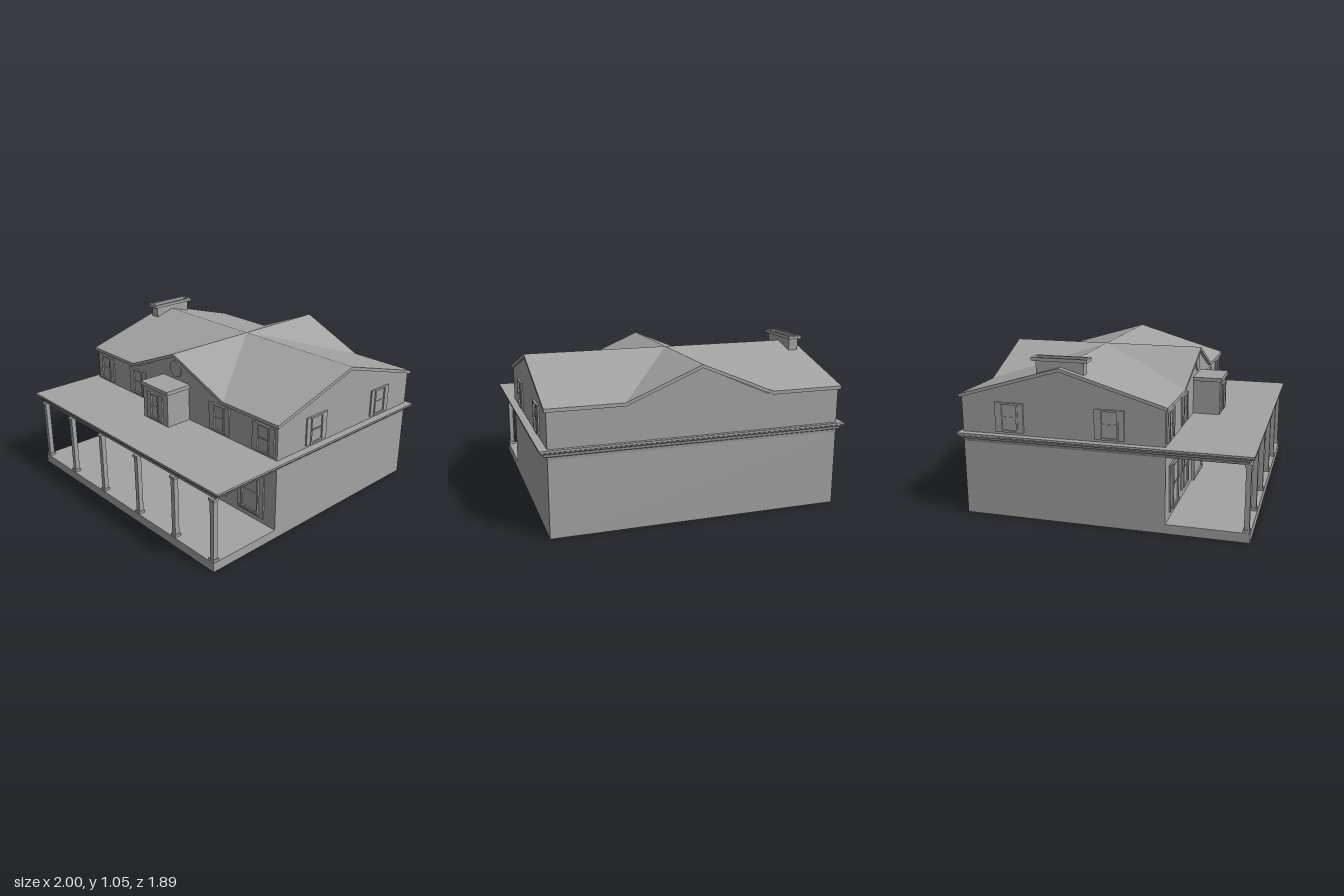
import * as THREE from 'three';

const plaster = new THREE.MeshStandardMaterial({ color: 0xa3a3a3, side: THREE.DoubleSide });
plaster.name = 'plain grey';

function addMesh(parent, name, geometry) {
  const mesh = new THREE.Mesh(geometry, plaster);
  mesh.name = name;
  parent.add(mesh);
  return mesh;
}

// Box given by its limits; open boxes have no bottom
function block(parent, name, [x0, x1], [y0, y1], [z0, z1], open = false) {
  const geo = new THREE.BoxGeometry(x1 - x0, y1 - y0, z1 - z0);
  geo.translate((x0 + x1) / 2, (y0 + y1) / 2, (z0 + z1) / 2);
  if (open) {
    geo.setIndex([...geo.index.array].filter((_, i) => i < 18 || i >= 24));
    geo.clearGroups();
  }
  return addMesh(parent, name, geo);
}

// Flat-shaded surface from convex polygons
function facets(polygons) {
  const pos = [];
  for (const p of polygons) {
    for (let i = 1; i < p.length - 1; i++) pos.push(...p[0], ...p[i], ...p[i + 1]);
  }
  const geo = new THREE.BufferGeometry();
  geo.setAttribute('position', new THREE.Float32BufferAttribute(pos, 3));
  geo.computeVertexNormals();
  return geo;
}

function prism(points, depth) {
  const shape = new THREE.Shape(points.map(([x, y]) => new THREE.Vector2(x, y)));
  return new THREE.ExtrudeGeometry(shape, { depth, bevelEnabled: false });
}

// Picture frame in the xy plane, projecting toward +z
function frame(parent, name, w, h, t, depth) {
  block(parent, name, [-w / 2, w / 2], [h / 2 - t, h / 2], [0, depth]);
  block(parent, name, [-w / 2, w / 2], [-h / 2, -h / 2 + t], [0, depth]);
  for (const s of [-1, 1]) {
    const x = s * (w / 2 - t / 2);
    block(parent, name, [x - t / 2, x + t / 2], [-h / 2 + t, h / 2 - t], [0, depth]);
  }
}

// Sash window with optional shutters; w is the full width
function windowUnit(parent, name, x, y, z, w, h, shutter, angle = 0) {
  const g = new THREE.Group();
  g.name = name;
  const inner = w - 2 * shutter;
  block(g, 'pane', [-inner / 2, inner / 2], [-h / 2, h / 2], [0, 0.004]);
  frame(g, 'windowFrame', inner, h, 0.012, 0.014);
  block(g, 'middleRail', [-inner / 2 + 0.012, inner / 2 - 0.012], [-0.004, 0.004], [0, 0.009]);
  if (shutter) {
    for (const s of [-1, 1]) {
      const c = s * (w / 2 - shutter / 2);
      block(g, 'shutter', [c - shutter / 2, c + shutter / 2], [-h / 2, h / 2], [0, 0.01]);
    }
  }
  g.position.set(x, y, z);
  g.rotation.y = angle;
  parent.add(g);
}

// Cross-gabled roof shell, mirrored from one quarter
function roofGeometry() {
  const zc = -0.255, t = 0.022;
  const polys = [];
  const down = ([x, y, z]) => [x, y - t, z];
  for (const sx of [-1, 1]) {
    for (const sz of [-1, 1]) {
      const apex = [0, 1, zc];
      const ridge = [sx * 0.965, 1, zc];
      const corner = [sx * 0.965, 0.8, zc + sz * 0.68];
      const valley = [sx * 0.48, 0.8, zc + sz * 0.68];
      const peak = [0, 1, zc + sz * 0.69];
      const order = (p) => (sx * sz > 0 ? p : [...p].reverse());
      for (const p of [[apex, valley, corner, ridge], [apex, peak, valley]]) {
        polys.push(order(p), order(p.map(down)).reverse());
      }
      for (const [a, b] of [[ridge, corner], [corner, valley], [valley, peak]]) {
        polys.push(order([b, a, down(a), down(b)]));
      }
    }
  }
  return facets(polys);
}

// Moulded band lofted from rectangular rings
function corniceGeometry() {
  const profile = [[0.05, 0.49], [0.045, 0.508], [0.03, 0.513], [0.024, 0.528],
    [0.007, 0.533], [0.007, 0.539], [0, 0.542], [0, 0.555]];
  const rings = profile.map(([o, y]) => {
    const x = 1 - o, f = 0.945 - 0.7 * o, b = -0.945 + 0.5 * o;
    return [[-x, y, f], [x, y, f], [x, y, b], [-x, y, b]];
  });
  const polys = [[...rings[0]].reverse(), rings[rings.length - 1]];
  for (let i = 0; i < rings.length - 1; i++) {
    for (let k = 0; k < 4; k++) {
      const n = (k + 1) % 4;
      polys.push([rings[i][k], rings[i][n], rings[i + 1][n], rings[i + 1][k]]);
    }
  }
  return facets(polys);
}

export function createModel() {
  const house = new THREE.Group();
  house.name = 'house';
  const front = 0.41, back = -0.92, side = 0.95;

  // Ground floor and porch, hollow underneath
  block(house, 'groundFloor', [-side, side], [0, 0.49], [back, front], true);
  block(house, 'porchFloor', [-side, side], [0, 0.062], [front, 0.93], true);
  addMesh(house, 'porchRoof', corniceGeometry());

  // Porch columns
  for (const x of [-0.925, -0.57, -0.2, 0.2, 0.57, 0.925]) {
    const g = new THREE.Group();
    g.name = 'porchColumn';
    block(g, 'shaft', [-0.016, 0.016], [0.062, 0.49], [-0.016, 0.016]);
    block(g, 'base', [-0.022, 0.022], [0.062, 0.08], [-0.022, 0.022]);
    block(g, 'capital', [-0.022, 0.022], [0.472, 0.49], [-0.022, 0.022]);
    g.position.set(x, 0, 0.906);
    house.add(g);
  }

  // Upper storey: long gabled volume and cross gable
  const upper = prism([[-front, 0.55], [-back, 0.55], [-back, 0.785], [0.255, 0.982], [-front, 0.785]], 2 * side);
  upper.rotateY(Math.PI / 2).translate(-side, 0, 0);
  addMesh(house, 'upperWalls', upper);
  const cross = prism([[-0.46, 0.78], [0.46, 0.78], [0, 0.98]], front - back);
  cross.translate(0, 0, back);
  addMesh(house, 'crossGableWalls', cross);
  addMesh(house, 'roof', roofGeometry());

  // Round gable vent
  const vent = addMesh(house, 'roundVent', new THREE.CylinderGeometry(0.058, 0.058, 0.008, 32));
  vent.rotation.x = Math.PI / 2;
  vent.position.set(0, 0.89, front + 0.004);

  // Box bay above the porch
  block(house, 'bayWalls', [-0.13, 0.13], [0.55, 0.79], [front, 0.596]);
  block(house, 'bayRoof', [-0.142, 0.142], [0.787, 0.813], [front, 0.608]);
  windowUnit(house, 'bayWindow', 0, 0.667, 0.596, 0.16, 0.19, 0.035);

  // Upper windows
  for (const x of [-0.835, -0.435, 0.435, 0.835]) {
    windowUnit(house, 'upperWindow', x, 0.667, front, 0.19, 0.19, 0.04);
  }
  for (const s of [-1, 1]) {
    for (const z of [0.06, -0.595]) {
      windowUnit(house, 'sideWindow', s * side, 0.667, z, 0.19, 0.19, 0.035, s * Math.PI / 2);
    }
  }

  // Porch windows
  for (const s of [-1, 1]) {
    windowUnit(house, 'shutteredPorchWindow', s * 0.395, 0.262, front, 0.23, 0.285, 0.045);
    const x = s * 0.735;
    block(house, 'windowSurround', [x - 0.115, x + 0.115], [0.1, 0.41], [front, front + 0.01]);
    windowUnit(house, 'widePorchWindow', x, 0.265, front + 0.008, 0.155, 0.28, 0);
    block(house, 'windowSill', [x - 0.09, x + 0.09], [0.117, 0.13], [front, front + 0.025]);
  }

  // Front door
  const door = new THREE.Group();
  door.name = 'frontDoor';
  block(door, 'doorPanel', [-0.15, 0.15], [-0.197, 0.19], [0, 0.008]);
  frame(door, 'doorFrame', 0.32, 0.4, 0.012, 0.02);
  door.position.set(0.013, 0.263, front);
  house.add(door);

  // Chimney with hollow cap
  const chimney = new THREE.Group();
  chimney.name = 'chimney';
  block(chimney, 'stack', [-0.925, -0.858], [0.94, 1.035], [-0.415, -0.107]);
  const cap = new THREE.Group();
  cap.name = 'chimneyCap';
  frame(cap, 'capRim', 0.095, 0.36, 0.02, 0.022);
  cap.rotation.x = -Math.PI / 2;
  cap.position.set(-0.8895, 1.033, -0.262);
  chimney.add(cap);
  house.add(chimney);

  return house;
}
